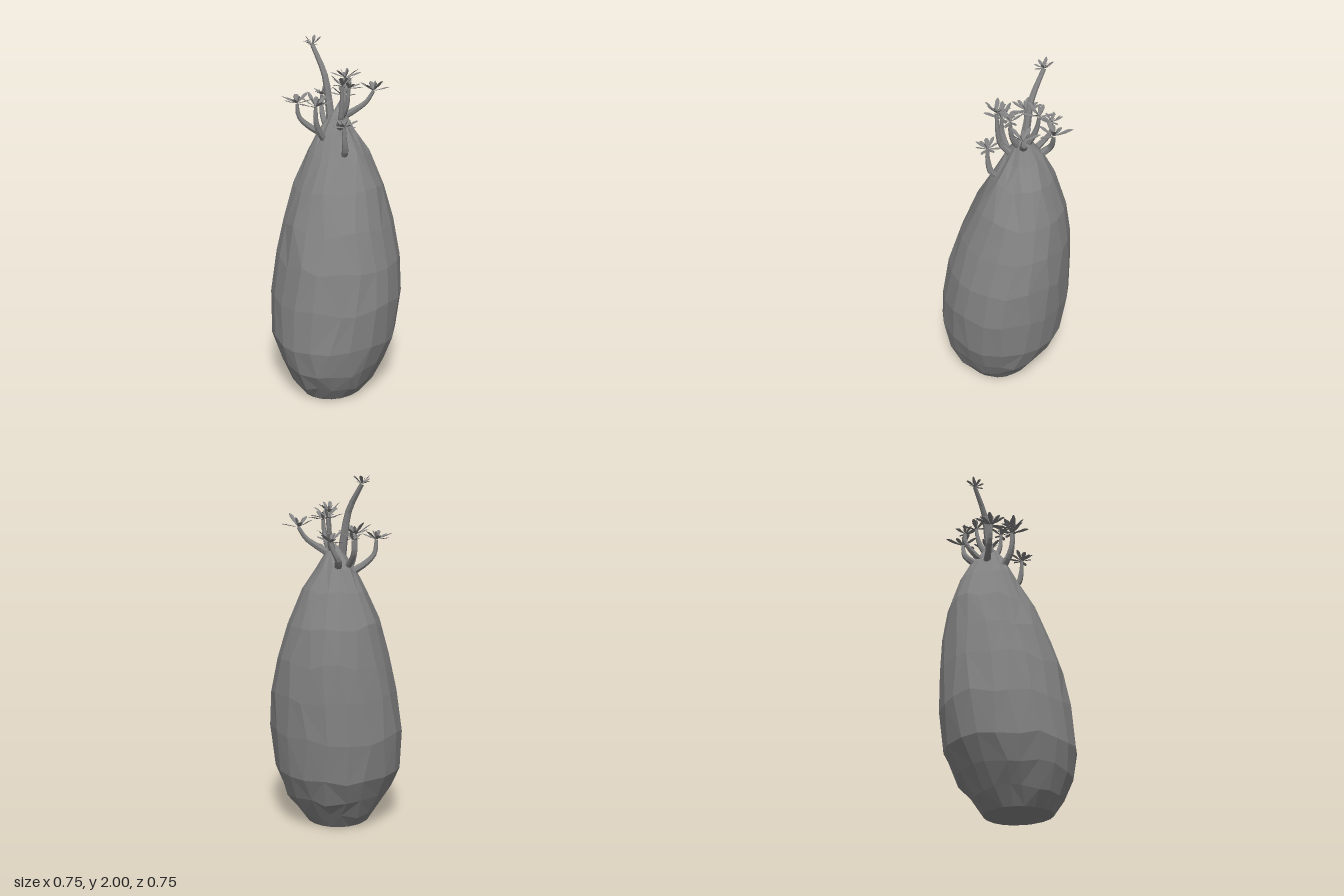
import * as THREE from 'three';

const bark = new THREE.MeshStandardMaterial({ color: 0x838383, flatShading: true });
const leafGrey = new THREE.MeshStandardMaterial({ color: 0x838383, flatShading: true, side: THREE.DoubleSide });

// Small seeded generator, returns -1..1
function seeded(seed) {
  return () => {
    seed = (seed * 16807) % 2147483647;
    return (seed / 2147483647) * 2 - 1;
  };
}

function buildGeometry(positions, index) {
  const g = new THREE.BufferGeometry();
  g.setAttribute('position', new THREE.Float32BufferAttribute(positions, 3));
  g.setIndex(index);
  g.computeVertexNormals();
  return g;
}

// Swollen leaning trunk: each section is y, min x, max x, min z, max z
function makeTrunk() {
  const sections = [
    [0.005, -0.15, 0.20, -0.135, 0.24],
    [0.09, -0.215, 0.258, -0.205, 0.298],
    [0.20, -0.285, 0.308, -0.275, 0.35],
    [0.35, -0.35, 0.35, -0.338, 0.374],
    [0.58, -0.373, 0.369, -0.366, 0.35],
    [0.80, -0.35, 0.346, -0.373, 0.308],
    [1.00, -0.321, 0.291, -0.364, 0.246],
    [1.20, -0.282, 0.224, -0.332, 0.163],
    [1.38, -0.208, 0.138, -0.265, 0.068],
    [1.50, -0.145, 0.065, -0.20, 0.0],
    [1.59, -0.07, 0.01, -0.145, -0.055],
  ];
  const sides = 20, rand = seeded(71), pos = [], index = [];
  sections.forEach(([y, x0, x1, z0, z1], r) => {
    for (let i = 0; i < sides; i++) {
      const a = ((i + rand() * 0.22) / sides) * Math.PI * 2;
      const inner = r > 0 && r < sections.length - 1;
      // Fuller towards the back left, flatter towards the front right
      const c = Math.cos(a + Math.PI / 4);
      const bulge = 1.006 + c ** 5 * (c > 0 ? 0.055 : 0.045);
      pos.push(
        (x0 + x1) / 2 + (Math.cos(a) * bulge * (x1 - x0)) / 2,
        y + (inner ? rand() * 0.02 : 0),
        (z0 + z1) / 2 + (Math.sin(a) * bulge * (z1 - z0)) / 2);
    }
  });
  for (let r = 0; r < sections.length - 1; r++) {
    for (let i = 0; i < sides; i++) {
      const j = (i + 1) % sides, a = r * sides + i, b = r * sides + j;
      const c = a + sides, d = b + sides;
      // Diagonals run either way for irregular facets
      if (rand() > 0) index.push(a, c, d, a, d, b);
      else index.push(a, c, b, b, c, d);
    }
  }
  const bottom = pos.length / 3, top = bottom + 1, last = (sections.length - 1) * sides;
  pos.push(0.02, 0, 0.05, -0.03, 1.625, -0.1);
  for (let i = 0; i < sides; i++) {
    const j = (i + 1) % sides;
    index.push(bottom, i, j, last + i, top, last + j);
  }
  const mesh = new THREE.Mesh(buildGeometry(pos, index), bark);
  mesh.name = 'trunk';
  return mesh;
}

// Tapered, curved branch
function makeBranch(points, radius) {
  const segments = 8, sides = 7;
  const curve = new THREE.CatmullRomCurve3(points);
  const g = new THREE.TubeGeometry(curve, segments, radius, sides, false);
  const p = g.attributes.position, v = new THREE.Vector3();
  for (let i = 0; i < p.count; i++) {
    const t = Math.floor(i / (sides + 1)) / segments;
    const c = curve.getPointAt(t);
    v.fromBufferAttribute(p, i).sub(c).multiplyScalar(1 - 0.55 * t).add(c);
    p.setXYZ(i, v.x, v.y, v.z);
  }
  g.computeVertexNormals();
  const mesh = new THREE.Mesh(g, bark);
  mesh.name = 'branch';
  return mesh;
}

// Unit leaf along +x: folded on its midrib, widest past the middle
function makeLeafGeometry() {
  const stations = [[0, 0.03, 0], [0.25, 0.08, 0.05], [0.5, 0.13, 0.11], [0.72, 0.145, 0.19], [0.9, 0.09, 0.25], [1, 0.015, 0.27]];
  const pos = [], index = [];
  stations.forEach(([x, w, y], s) => {
    pos.push(x, y + w * 0.3, -w, x, y, 0, x, y + w * 0.3, w);
    if (s === 0) return;
    for (let k = 0; k < 2; k++) {
      const a = (s - 1) * 3 + k;
      index.push(a, a + 1, a + 3, a + 1, a + 4, a + 3);
    }
  });
  return buildGeometry(pos, index);
}
const leafGeometry = makeLeafGeometry();

// Whorl of leaves, some spreading and some rising, with small upright ones inside
function makeRosette(center, size, count, seed) {
  const group = new THREE.Group(), rand = seeded(seed * 977 + 13);
  group.name = 'leafRosette';
  group.position.copy(center);
  const addLeaf = (angle, tilt, length) => {
    const leaf = new THREE.Mesh(leafGeometry, leafGrey);
    leaf.name = 'leaf';
    leaf.scale.setScalar(length);
    leaf.rotation.set(0, angle, tilt, 'YXZ');
    group.add(leaf);
  };
  const start = rand() * 3;
  for (let i = 0; i < count; i++) {
    addLeaf(start + ((i + rand() * 0.2) / count) * Math.PI * 2, 0.18 + rand() * 0.4, size * (1.08 + rand() * 0.14));
  }
  for (let i = 0; i < 3; i++) addLeaf(start + 0.4 + i * 2.1, 0.8, size * 0.65);
  return group;
}

export function createModel() {
  const model = new THREE.Group();
  model.name = 'bottleTree';
  model.add(makeTrunk());

  // Branch path from base to tip, branch radius, leaf length, leaf count
  const branches = [
    [[[-0.09, 1.51, -0.17], [-0.115, 1.55, -0.21], [-0.10, 1.61, -0.24], [-0.09, 1.65, -0.25]], 0.022, 0.085, 7],
    [[[-0.03, 1.58, -0.12], [-0.035, 1.65, -0.16], [-0.04, 1.71, -0.18], [-0.04, 1.77, -0.19]], 0.021, 0.085, 6],
    [[[-0.01, 1.57, -0.12], [0.05, 1.61, -0.15], [0.10, 1.655, -0.185], [0.13, 1.715, -0.21]], 0.021, 0.085, 5],
    [[[-0.11, 1.50, -0.11], [-0.16, 1.55, -0.145], [-0.185, 1.60, -0.17], [-0.185, 1.66, -0.175]], 0.02, 0.055, 8],
    [[[-0.05, 1.50, -0.07], [-0.08, 1.66, -0.085], [-0.11, 1.80, -0.09], [-0.20, 1.95, -0.105]], 0.027, 0.056, 8],
    [[[-0.01, 1.56, -0.09], [0.03, 1.62, -0.08], [0.05, 1.68, -0.075], [0.055, 1.745, -0.075]], 0.02, 0.065, 8],
    [[[-0.13, 1.48, -0.06], [-0.18, 1.52, -0.02], [-0.215, 1.57, 0.01], [-0.22, 1.645, 0.02]], 0.021, 0.078, 9],
    [[[-0.05, 1.46, 0.0], [-0.06, 1.51, 0.04], [-0.065, 1.58, 0.065], [-0.065, 1.655, 0.065]], 0.022, 0.086, 9],
    [[[0.01, 1.52, -0.05], [0.045, 1.58, -0.01], [0.06, 1.66, 0.0], [0.065, 1.775, 0.005]], 0.02, 0.066, 8],
    [[[0.07, 1.39, 0.0], [0.095, 1.42, 0.02], [0.10, 1.48, 0.035], [0.10, 1.56, 0.04]], 0.021, 0.072, 9],
  ];
  branches.forEach(([path, radius, size, count], n) => {
    const points = path.map((p) => new THREE.Vector3(...p));
    const group = new THREE.Group();
    group.name = 'leafyBranch';
    group.add(makeBranch(points, radius), makeRosette(points[3], size, count, n + 1));
    model.add(group);
  });
  return model;
}
